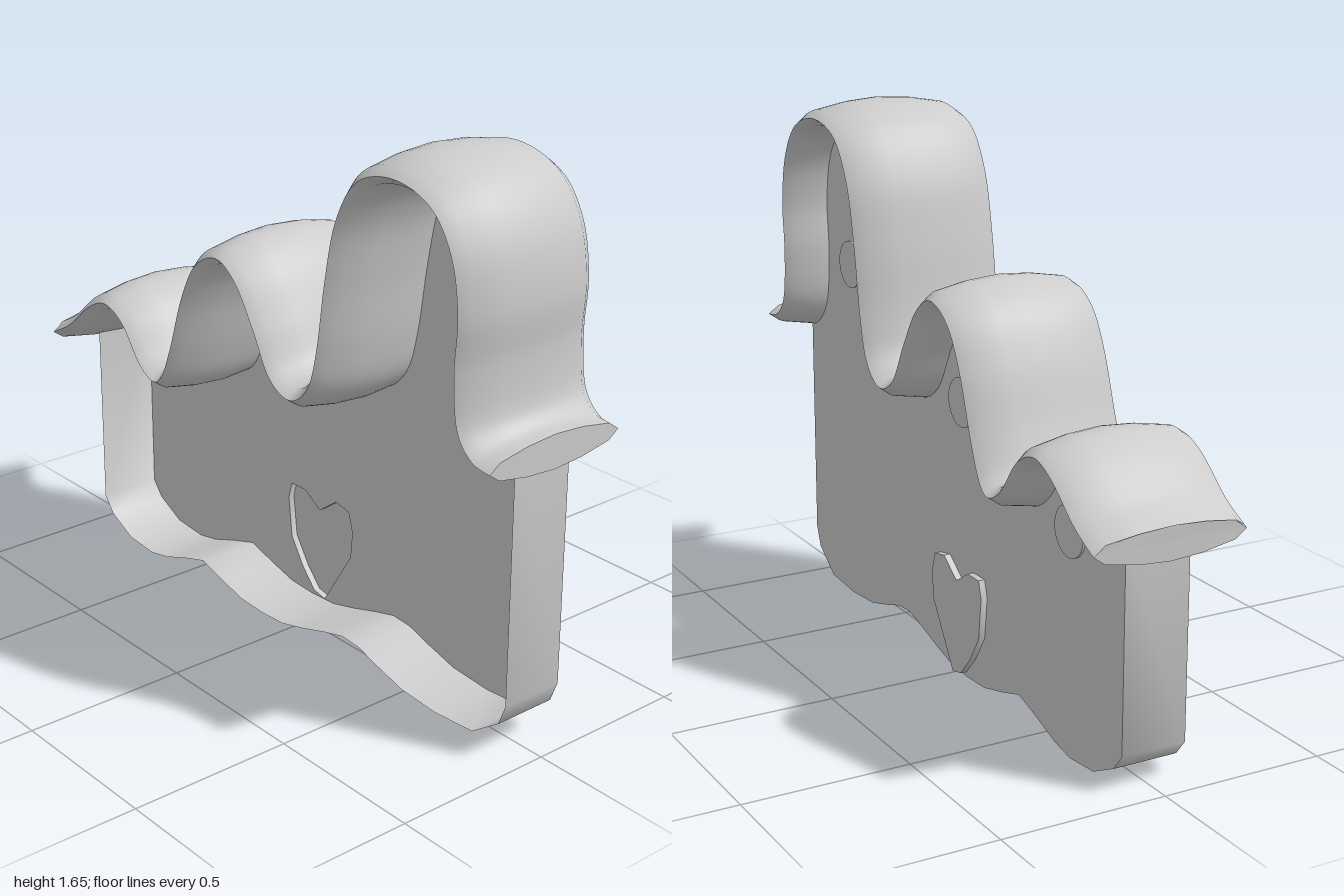
import * as THREE from 'three';
import { toCreasedNormals } from 'three/addons/utils/BufferGeometryUtils.js';

// All outlines are given as [z, y] pairs.
const WAVE = [
  [1, .915], [.93, .93], [.875, 1], [.86, 1.15], [.868, 1.3], [.84, 1.45], [.76, 1.56], [.62, 1.6],
  [.48, 1.56], [.395, 1.43], [.352, 1.25], [.32, 1.05], [.28, .92], [.2, .86], [.11, .9],
  [.04, 1.02], [-.04, 1.14], [-.13, 1.19], [-.23, 1.14], [-.3, 1.02], [-.36, .85], [-.41, .74],
  [-.46, .71], [-.53, .75], [-.61, .85], [-.7, .89], [-.79, .855], [-.9, .765], [-1, .71],
];
const BASE = [
  [-.94, .11], [-.9, .06], [-.8, .01], [-.68, 0], [-.6, .015], [-.5, .05], [-.4, .08], [-.3, .05],
  [-.2, .025], [-.1, .02], [0, .025], [.1, .05], [.2, .08], [.28, .1], [.35, .095], [.43, .07],
  [.54, .04], [.68, .03], [.83, .04], [.93, .11], [.955, .175],
];
const HEART = [
  [.088, .3], [.07, .363], [.01, .375], [-.065, .32], [-.135, .363], [-.2, .363], [-.215, .31],
  [-.2, .18], [-.145, .095], [-.09, .035], [-.04, .025], [.02, .12], [.08, .215],
];
const DISCS = [[.595, 1.145], [-.12, .88], [-.715, .675]];
const SIDE = 0.1; // half thickness of the body

const toPath = (pts, Type = THREE.Shape) => new Type(pts.map(([z, y]) => new THREE.Vector2(-z, y)));

// Flat panel facing +x
function panel(shape, x) {
  return new THREE.ShapeGeometry(shape).rotateY(Math.PI / 2).translate(x, 0, 0);
}

function build(pos, idx, crease) {
  const g = new THREE.BufferGeometry();
  g.setAttribute('position', new THREE.Float32BufferAttribute(pos, 3));
  g.setIndex(idx);
  return toCreasedNormals(g, crease);
}

// Closed strip joining an outline (clockwise seen from +x) at x0 and x1
function rim(pts, x0, x1) {
  const pos = [], idx = [], n = pts.length;
  pts.forEach(([z, y], i) => {
    pos.push(x0, y, z, x1, y, z);
    const a = 2 * i, b = 2 * ((i + 1) % n);
    idx.push(a, a + 1, b, b, a + 1, b + 1);
  });
  return build(pos, idx, 0.7);
}

// Lens-shaped section swept along the wave
function ribbon(curve, steps) {
  const half = [[.235, 0], [.2, .025], [.1, .043], [0, .05], [-.1, .043], [-.2, .025]];
  const ring = [...half, ...half.map(([x, h]) => [-x, -h])];
  const n = ring.length, pos = [], idx = [];
  for (let i = 0; i <= steps; i++) {
    const p = curve.getPoint(i / steps), t = curve.getTangent(i / steps);
    const end = i === 0 || i === steps; // ends are cut upright
    const nz = end ? 0 : t.y, ny = end ? 1 : -t.x;
    for (const [x, h] of ring) pos.push(x, p.y + h * ny, p.x + h * nz);
  }
  for (let i = 0; i < steps; i++) {
    for (let j = 0; j < n; j++) {
      const a = i * n + j, b = i * n + (j + 1) % n;
      idx.push(a, a + n, b, b, a + n, b + n);
    }
  }
  const last = steps * n;
  for (let j = 1; j < n - 1; j++) idx.push(0, j, j + 1, last, last + j + 1, last + j);
  return build(pos, idx, 0.8);
}

export function createModel() {
  const model = new THREE.Group();
  const grey = new THREE.MeshStandardMaterial({ color: 0xcccccc, side: THREE.DoubleSide });
  grey.name = 'light grey';
  const add = (name, geometry, parent = model) => {
    const mesh = new THREE.Mesh(geometry, grey);
    mesh.name = name;
    parent.add(mesh);
    return mesh;
  };

  const curve = new THREE.SplineCurve(WAVE.map(([z, y]) => new THREE.Vector2(z, y)));

  // Body: a shell left open on its -x side, with its top under the ribbon
  const top = curve.getPoints(140).map((p) => [p.x, p.y]).filter(([z]) => z < .95 && z > -.935);
  const outline = [[.955, .92], ...top, [-.94, .745], ...BASE];
  const body = new THREE.Group();
  body.name = 'body';
  model.add(body);
  const face = toPath(outline);
  face.holes.push(toPath(HEART, THREE.Path));
  add('bodyPanel', panel(face, SIDE), body);
  add('bodyRim', rim(outline, -SIDE, SIDE), body);

  // Raised heart, hollow behind
  const heart = new THREE.Group();
  heart.name = 'heart';
  model.add(heart);
  add('heartFace', panel(toPath(HEART), SIDE + .02), heart);
  add('heartRim', rim(HEART, SIDE, SIDE + .02), heart);

  // Wavy roof ribbon
  add('roofRibbon', ribbon(curve, 168));

  // Thin round plates just off the panel
  DISCS.forEach(([z, y], i) => {
    const disc = add('disc' + (i + 1), new THREE.CylinderGeometry(.073, .073, .008, 40).rotateZ(Math.PI / 2));
    disc.position.set(.13, y, z);
  });

  return model;
}
